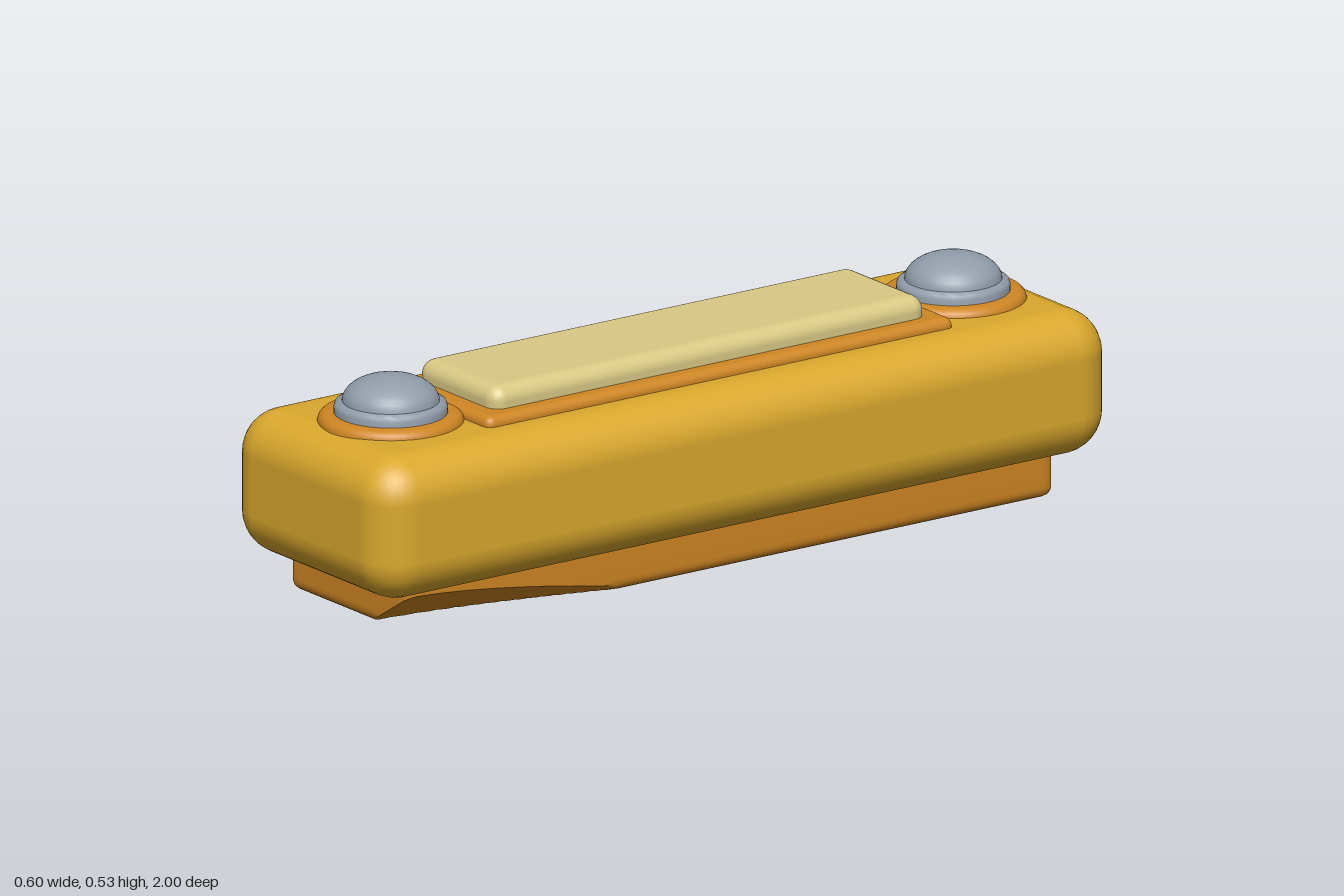
import * as THREE from 'three';
import { toCreasedNormals } from 'three/addons/utils/BufferGeometryUtils.js';
import { RoundedBoxGeometry } from 'three/addons/geometries/RoundedBoxGeometry.js';

const paint = (name, color) => {
  const m = new THREE.MeshStandardMaterial({ color });
  m.name = name;
  return m;
};

export function createModel() {
  const yellow = paint('yellow', 0xdaa82d);
  const orange = paint('orange', 0xcf8623);
  const cream = paint('cream', 0xdac985);
  const metal = paint('greyMetal', 0x929daa);
  const group = new THREE.Group();

  const add = (name, geometry, material, y = 0, z = 0) => {
    const mesh = new THREE.Mesh(geometry, material);
    mesh.name = name;
    mesh.position.set(0, y, z);
    group.add(mesh);
  };
  const slab = (name, w, y0, y1, d, segments, r, material) =>
    add(name, new RoundedBoxGeometry(w, y1 - y0, d, segments, r), material, (y0 + y1) / 2);

  // Softly rounded block and the stacked plates on its top
  slab('body', 0.6, 0.093, 0.425, 2, 4, 0.1, yellow);
  slab('topFrame', 0.37, 0.39, 0.448, 1.27, 3, 0.02, orange);
  slab('topPad', 0.294, 0.417, 0.497, 1.18, 4, 0.035, cream);

  // Base with eased edges and a scooped front left corner
  add('base', scoopedBase(), orange);

  // Dome-headed stud on a collar at each end
  for (const [side, z] of [['front', 0.765], ['back', -0.765]]) {
    add(side + 'Collar', lathe([[0.162, 0.4], [0.162, 0.425], [0.159, 0.434], [0.152, 0.441], [0.143, 0.443], [0, 0.443]]), orange, 0, z);
    add(side + 'StudRim', lathe([[0.126, 0.43], [0.126, 0.455], [0.123, 0.464], [0.114, 0.469], [0, 0.469]]), metal, 0, z);
    const dome = [];
    for (let i = 0; i <= 10; i++) {
      const a = (i / 10) * Math.PI / 2;
      dome.push([0.108 * Math.cos(a), 0.468 + 0.059 * Math.sin(a)]);
    }
    add(side + 'StudDome', lathe(dome), metal, 0, z);
  }
  return group;
}

function lathe(points) {
  const profile = points.map(([r, y]) => new THREE.Vector2(Math.max(r, 0), y));
  return toCreasedNormals(new THREE.LatheGeometry(profile, 40), 0.75);
}

function scoopedBase() {
  const half = new THREE.Vector3(0.224, 0.09, 0.88);
  const r = 0.025;
  const geometry = new THREE.BoxGeometry(0.448, 0.18, 1.76, 56, 18, 140);
  const inner = half.clone().subScalar(r);
  const p = new THREE.Vector3(), core = new THREE.Vector3();
  const pos = geometry.attributes.position;
  for (let i = 0; i < pos.count; i++) {
    p.fromBufferAttribute(pos, i);
    // Round the edges
    core.copy(p).clamp(inner.clone().negate(), inner);
    p.sub(core);
    if (p.lengthSq() > 0) p.setLength(r);
    p.add(core);
    p.y += half.y;
    // Lift the underside to the scoop's height
    const t = Math.max(0, (0.88 - p.z) / 0.63);
    const scoop = 0.09 * ((p.x - 0.08) / 0.144 - t ** 1.5);
    p.y = Math.max(p.y, scoop);
    pos.setXYZ(i, p.x, p.y, p.z);
  }
  return toCreasedNormals(geometry, 0.45);
}
